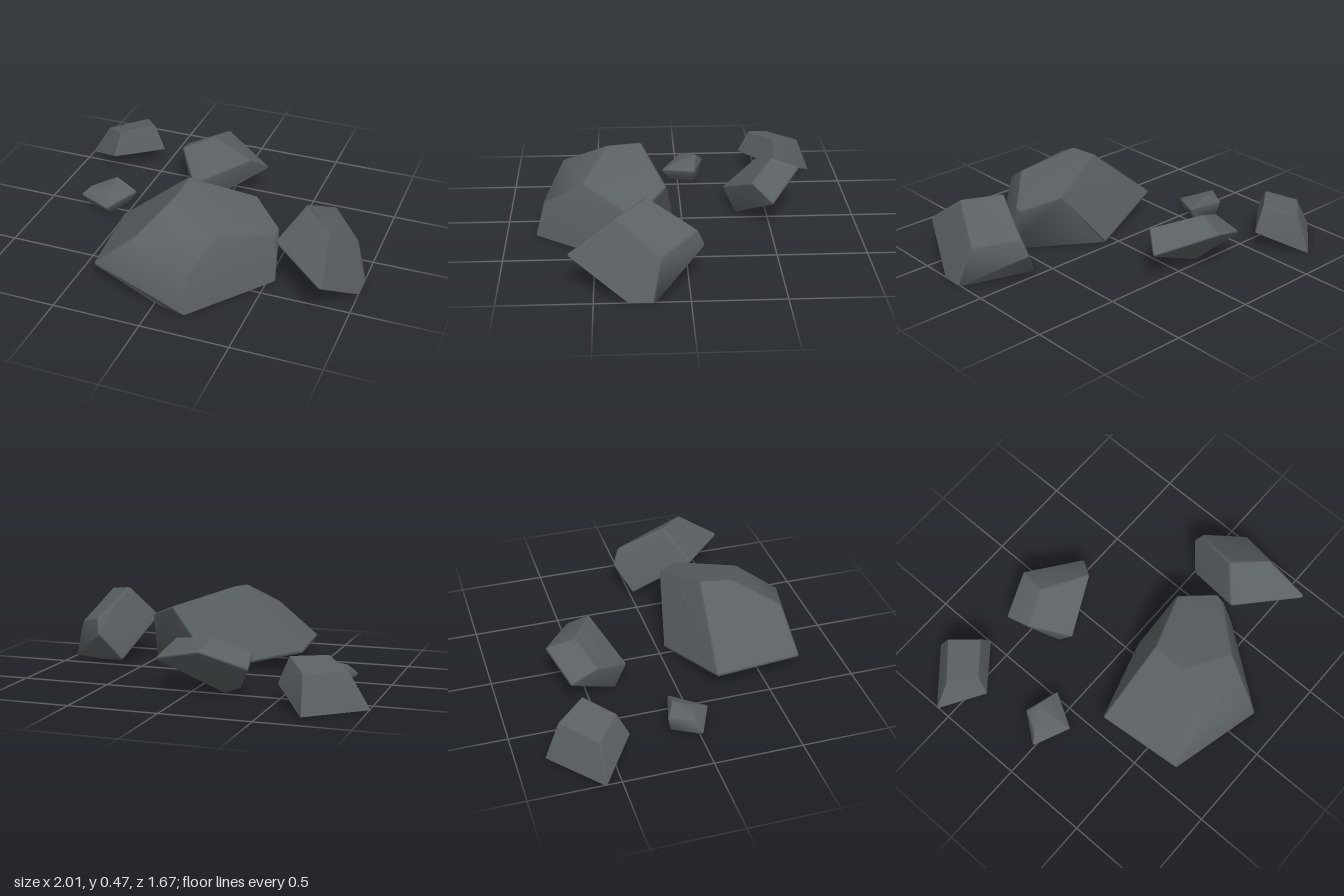
import * as THREE from 'three';
import { mergeVertices } from 'three/addons/utils/BufferGeometryUtils.js';
import { ConvexGeometry } from 'three/addons/geometries/ConvexGeometry.js';

// Directions used to round each corner of a rock (icosahedron corners)
const t = (1 + Math.sqrt(5)) / 2;
const roundDirs = [];
for (const a of [-1, 1]) for (const b of [-t, t]) {
  for (const d of [[a, b, 0], [0, a, b], [b, 0, a]]) {
    roundDirs.push(new THREE.Vector3(...d).normalize());
  }
}

// Convex rock with softened corners and edges, cut flat at the ground
function rockGeometry(corners, radius) {
  const points = corners.map((c) => new THREE.Vector3(...c));
  const centre = new THREE.Vector3();
  points.forEach((p) => centre.addScaledVector(p, 1 / points.length));
  const cloud = [];
  for (const p of points) {
    const inset = centre.clone().sub(p).setLength(radius * 1.1).add(p);
    if (p.y === 0) inset.y = 0;
    for (const d of roundDirs) {
      const q = inset.clone().addScaledVector(d, radius);
      q.y = Math.max(0, q.y);
      cloud.push(q);
    }
  }
  const hull = new ConvexGeometry(cloud);
  hull.deleteAttribute('normal');
  // Area-weighted normals keep the broad facets flat and the bevels soft
  const geometry = mergeVertices(hull, 1e-4);
  geometry.computeVertexNormals();
  return geometry;
}

const rocks = {
  largeRock: {
    radius: 0.014,
    corners: [
      [-0.02, 0.47, 0.23], [-0.03, 0.455, 0.42], [0.27, 0.345, 0.56], // crown
      [0.34, 0.345, 0.10], [0.52, 0.265, 0.25], [0.51, 0.26, 0.30],
      [-0.16, 0.315, 0.68], [0.17, 0.2, 0.785],
      [-0.435, 0.11, 0.21], [-0.39, 0.11, 0.71], // overhanging side
      [0.06, 0, 0.045], [0.54, 0, 0.36], [0.18, 0, 0.835], [0, 0, 0.79],
    ],
  },
  sideRock: {
    radius: 0.014,
    corners: [
      [0.66, 0.435, 0.22], [0.83, 0.40, 0.38], [0.86, 0.21, 0.63], [0.53, 0.25, 0.355],
      [0.94, 0.22, 0.14], [0.75, 0.28, -0.05], [0.73, 0.19, -0.085],
      [0.63, 0.03, 0.01], [0.8, 0, 0.12], [1.0, 0, 0.32], [1.005, 0, 0.19],
    ],
  },
  smallRock: {
    radius: 0.01,
    corners: [
      [-0.81, 0.05, 0], [-0.76, 0.10, -0.03], [-0.62, 0.145, -0.12], [-0.56, 0.12, -0.10],
      [-0.49, 0.08, -0.10], [-0.62, 0.10, 0.01], [-0.60, 0.05, 0.095], [-0.69, 0.09, -0.16],
      [-0.75, 0, 0], [-0.54, 0, -0.09], [-0.6, 0, 0.05], [-0.67, 0, -0.14],
    ],
  },
  backRock: {
    radius: 0.012,
    corners: [
      [-0.14, 0.315, -0.54], [-0.335, 0.225, -0.46], [0.13, 0.265, -0.395], [0.205, 0.175, -0.505],
      [-0.11, 0.265, -0.695], [-0.355, 0.17, -0.61], [-0.185, 0.11, -0.255],
      [-0.09, 0, -0.32], [-0.18, 0, -0.45], [-0.22, 0, -0.33],
    ],
  },
  cornerRock: {
    radius: 0.006,
    corners: [
      [-0.89, 0.19, -0.585], [-0.69, 0.205, -0.76], [-0.575, 0.255, -0.60], [-0.75, 0.245, -0.46],
      [-1.005, 0, -0.585], [-0.705, 0, -0.84], [-0.515, 0.105, -0.60], [-0.77, 0.11, -0.395],
    ],
  },
};

export function createModel() {
  const group = new THREE.Group();
  group.name = 'rocks';
  const stone = new THREE.MeshStandardMaterial({ color: 0x5b6063 });
  stone.name = 'stone';
  for (const [name, { corners, radius }] of Object.entries(rocks)) {
    const mesh = new THREE.Mesh(rockGeometry(corners, radius), stone);
    mesh.name = name;
    group.add(mesh);
  }
  return group;
}
